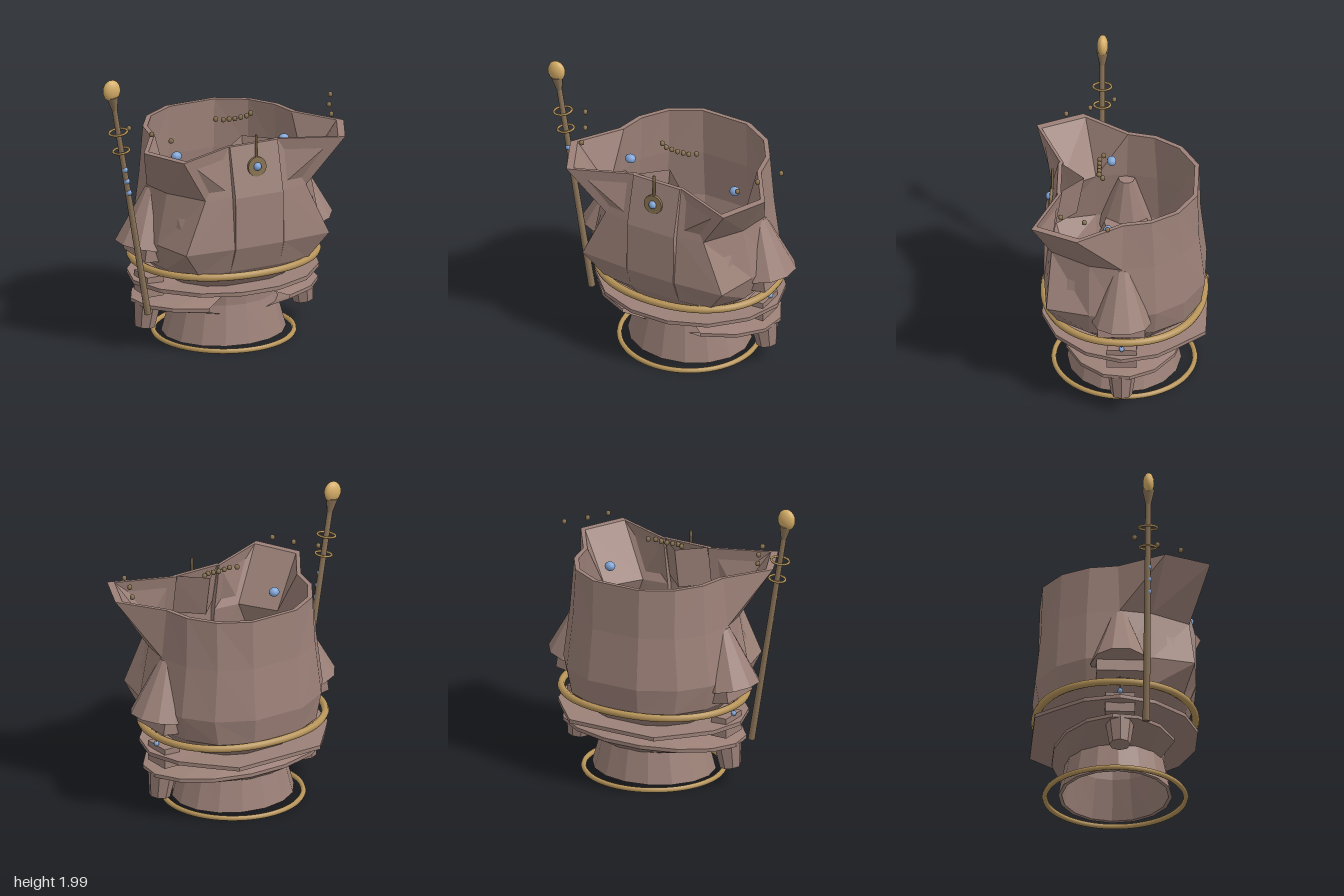
import * as THREE from 'three';

const CX = 0.11, CZ = -0.02;
const mat = (name, color, flatShading = false, side = THREE.FrontSide) => {
  const m = new THREE.MeshStandardMaterial({ color, flatShading, side });
  m.name = name;
  return m;
};

export function createModel() {
  const cloth = mat('dusty brown', 0x9c8178, true, THREE.DoubleSide);
  const brass = mat('brass', 0xb8955a);
  const gold = mat('pale gold', 0xd6ae68);
  const wood = mat('staff wood', 0x8a7358);
  const blue = mat('blue gem', 0x82a6d8);
  const bronze = mat('bronze bead', 0x85704f);

  const model = new THREE.Group();
  const body = new THREE.Group();
  body.name = 'body';
  body.position.set(CX, 0, 0);
  model.add(body);

  const add = (parent, name, geo, material, x = 0, y = 0, z = 0) => {
    const m = new THREE.Mesh(geo, material);
    m.name = name;
    m.position.set(x, y, z);
    parent.add(m);
    return m;
  };

  // Skin a list of cross-sections, each an array of [x, y, z]; diagonals mirror across x = 0
  const loft = (rings, closed = true) => {
    const pos = [];
    for (let i = 0; i < rings.length - 1; i++) {
      const n = rings[i].length;
      for (let j = 0; j < (closed ? n : n - 1); j++) {
        const k = (j + 1) % n;
        const [a, b, c, d] = [rings[i][j], rings[i][k], rings[i + 1][k], rings[i + 1][j]];
        if (a[0] + b[0] >= 0) pos.push(...a, ...b, ...d, ...b, ...c, ...d);
        else pos.push(...a, ...b, ...c, ...a, ...c, ...d);
      }
    }
    const g = new THREE.BufferGeometry();
    g.setAttribute('position', new THREE.Float32BufferAttribute(pos, 3));
    g.computeVertexNormals();
    return g;
  };
  // Mirror a half outline (front to back) into a full ring
  const outline = (y, half, s = 1) => {
    const pts = half.map(([x, z]) => [x * s, y, CZ + (z - CZ) * s]);
    return [...pts, ...pts.slice().reverse().map(([x, , z]) => [-x, y, z])];
  };
  const ellipse = (y, rx, rz, n = 16, a0 = 0, a1 = Math.PI * 2, closed = true) =>
    Array.from({ length: closed ? n : n + 1 }, (_, i) => {
      const a = a0 + (a1 - a0) * i / n;
      return [Math.sin(a) * rx, y, CZ + Math.cos(a) * rz];
    });

  // Torso wall: front panel, collar wings, then sides and back
  const levels = [
    [0.45, [[0.16, 0.33], [0.165, 0.33], [0.27, 0.28], [0.38, 0.14], [0.41, -0.02], [0.37, -0.2], [0.27, -0.32], [0.14, -0.38]]],
    [0.6, [[0.18, 0.45], [0.185, 0.45], [0.41, 0.42], [0.55, 0.2], [0.58, -0.02], [0.53, -0.24], [0.4, -0.43], [0.18, -0.54]]],
    [0.78, [[0.18, 0.52], [0.185, 0.515], [0.54, 0.49], [0.61, 0.2], [0.63, -0.02], [0.575, -0.25], [0.435, -0.44], [0.19, -0.57]]],
    [1.14, [[0.18, 0.515], [0.185, 0.48], [0.38, 0.46], [0.54, 0.2], [0.58, -0.02], [0.53, -0.24], [0.4, -0.42], [0.18, -0.53]]],
    [1.485, [[0.18, 0.43], [0.185, 0.42], [0.61, 0.59], [0.755, 0.28], [0.55, -0.03], [0.51, -0.22], [0.39, -0.4], [0.18, -0.52]]],
  ];
  const outer = levels.map(([y, h]) => outline(y, h));
  const inner = levels.map(([y, h]) => outline(y, h, 0.94)).reverse();
  add(body, 'torso', loft([...outer, ...inner, outer[0]]), cloth);

  // Triangular pocket behind the collar front
  add(body, 'collarPocket', loft([
    [[0.18, 1.2, 0.48], [0, 1.2, 0.3], [-0.18, 1.2, 0.48]],
    [[0.18, 1.485, 0.42], [0, 1.485, 0.25], [-0.18, 1.485, 0.42]],
  ], false), cloth);

  // Pedestal
  add(body, 'pedestal', loft([
    ellipse(0.03, 0.43, 0.385), ellipse(0.3, 0.355, 0.33), ellipse(0.47, 0.36, 0.335),
    ellipse(0.47, 0.32, 0.305), ellipse(0.3, 0.325, 0.305), ellipse(0.03, 0.4, 0.36), ellipse(0.03, 0.43, 0.385),
  ]), cloth);

  // Upper and lower skirts
  const skirt = [[0.14, 0.53], [0.4, 0.43], [0.6, 0.22], [0.68, -0.02], [0.61, -0.26], [0.5, -0.39], [0.33, -0.58]];
  add(body, 'upperSkirt', loft([
    outline(0.37, skirt, 0.56), outline(0.445, skirt), outline(0.472, skirt), outline(0.46, skirt, 0.58),
  ]), cloth);
  const gap = 0.46;
  const arc = (y, rx, rz) => ellipse(y, rx, rz, 13, gap, Math.PI * 2 - gap, false);
  add(body, 'lowerSkirt', loft([
    arc(0.24, 0.36, 0.33), arc(0.305, 0.68, 0.43), arc(0.33, 0.68, 0.43), arc(0.37, 0.36, 0.33),
  ], false), cloth);

  // Brass hoops; a power below 1 squares the ellipse slightly
  const hoop = (name, y, rx, rz, r, power) => {
    const soft = v => Math.sign(v) * Math.abs(v) ** power;
    const pts = ellipse(y, 1, 1, 32).map(([x, , z]) =>
      new THREE.Vector3(soft(x) * rx, y, CZ + soft(z - CZ) * rz));
    add(body, name, new THREE.TubeGeometry(new THREE.CatmullRomCurve3(pts, true), 64, r, 8, true), brass);
  };
  hoop('baseHoop', 0.024, 0.475, 0.475, 0.018, 1);
  hoop('waistHoop', 0.584, 0.638, 0.54, 0.026, 0.92);

  for (const s of [1, -1]) {
    const side = new THREE.Group();
    side.name = s > 0 ? 'leftSide' : 'rightSide';
    body.add(side);
    // Bell sleeve, cuff and inner shoulder
    add(side, 'sleeve', new THREE.CylinderGeometry(0.055, 0.2, 0.4, 10), cloth, s * 0.568, 0.922, CZ).rotation.z = s * 0.18;
    add(side, 'cuff', new THREE.BoxGeometry(0.2, 0.09, 0.32), cloth, s * 0.57, 0.68, CZ).rotation.z = s * 0.15;
    add(side, 'innerShoulder', new THREE.CylinderGeometry(0.15, 0.19, 0.1, 12), cloth, s * 0.45, 0.76, CZ);
    // Clasp plate, gem on its pin and hanging pouch
    add(side, 'clasp', new THREE.BoxGeometry(0.12, 0.14, 0.2), cloth, s * 0.565, 0.44, CZ);
    add(side, 'claspGem', new THREE.SphereGeometry(0.019, 8, 6), blue, s * 0.625, 0.522, CZ);
    add(side, 'claspPin', new THREE.CylinderGeometry(0.005, 0.005, 0.1, 6), bronze, s * 0.625, 0.575, CZ);
    add(side, 'pouch', new THREE.CylinderGeometry(0.097, 0.072, 0.17, 8), cloth, s * 0.588, 0.22, CZ).rotation.z = s * 0.12;
    // Floating gem above the shoulder
    add(side, 'shoulderGem', new THREE.SphereGeometry(0.038, 10, 8), blue, s * 0.405, 1.345, 0.078).scale.set(1, 0.85, 0.85);
    // Floating side beads
    for (const [x, y, z] of [[0.76, 1.6, 0.07], [0.67, 1.592, 0.23], [0.605, 1.585, 0.39]])
      add(side, 'sideBead', new THREE.SphereGeometry(0.019, 6, 5), bronze, s * x, y, z);
  }

  // Row of beads over the collar
  for (let i = -3; i <= 3; i++)
    add(body, 'collarBead', new THREE.SphereGeometry(0.019, 6, 5), bronze,
      i * 0.044, 1.572 + Math.abs(i) * 0.003, Math.abs(i) === 3 ? 0.122 : 0.148);

  // Medallion with pin
  add(body, 'medallion', new THREE.CylinderGeometry(0.068, 0.068, 0.02, 20), bronze, 0, 1.333, 0.475).rotation.x = Math.PI / 2 - 0.1;
  add(body, 'medallionGem', new THREE.SphereGeometry(0.029, 10, 8), blue, 0, 1.335, 0.482);
  add(body, 'medallionPin', new THREE.CylinderGeometry(0.009, 0.009, 0.16, 6), bronze, 0, 1.475, 0.465);

  // Staff, built upright then leaned outward
  const staff = new THREE.Group();
  staff.name = 'staff';
  staff.position.set(-0.55, 0.285, 0.155);
  staff.rotation.z = 0.167;
  model.add(staff);
  add(staff, 'staffShaft', new THREE.CylinderGeometry(0.019, 0.025, 1.54, 8), wood, 0, 0.77, 0);
  add(staff, 'staffSocket', new THREE.CylinderGeometry(0.042, 0.019, 0.1, 8), wood, 0, 1.565, 0);
  for (const [h, r] of [[1.215, 0.056], [1.352, 0.062]])
    add(staff, 'staffRing', new THREE.TorusGeometry(r, 0.008, 6, 20), brass, 0, h, 0).rotation.x = Math.PI / 2;
  for (const h of [0.905, 0.99, 1.075])
    add(staff, 'staffGem', new THREE.SphereGeometry(0.022, 8, 6), blue, 0.002, h, 0.008);
  add(model, 'staffHead', new THREE.SphereGeometry(0.065, 14, 10), gold, -0.825, 1.922, 0.155).scale.set(1, 1.15, 0.6);

  return model;
}
